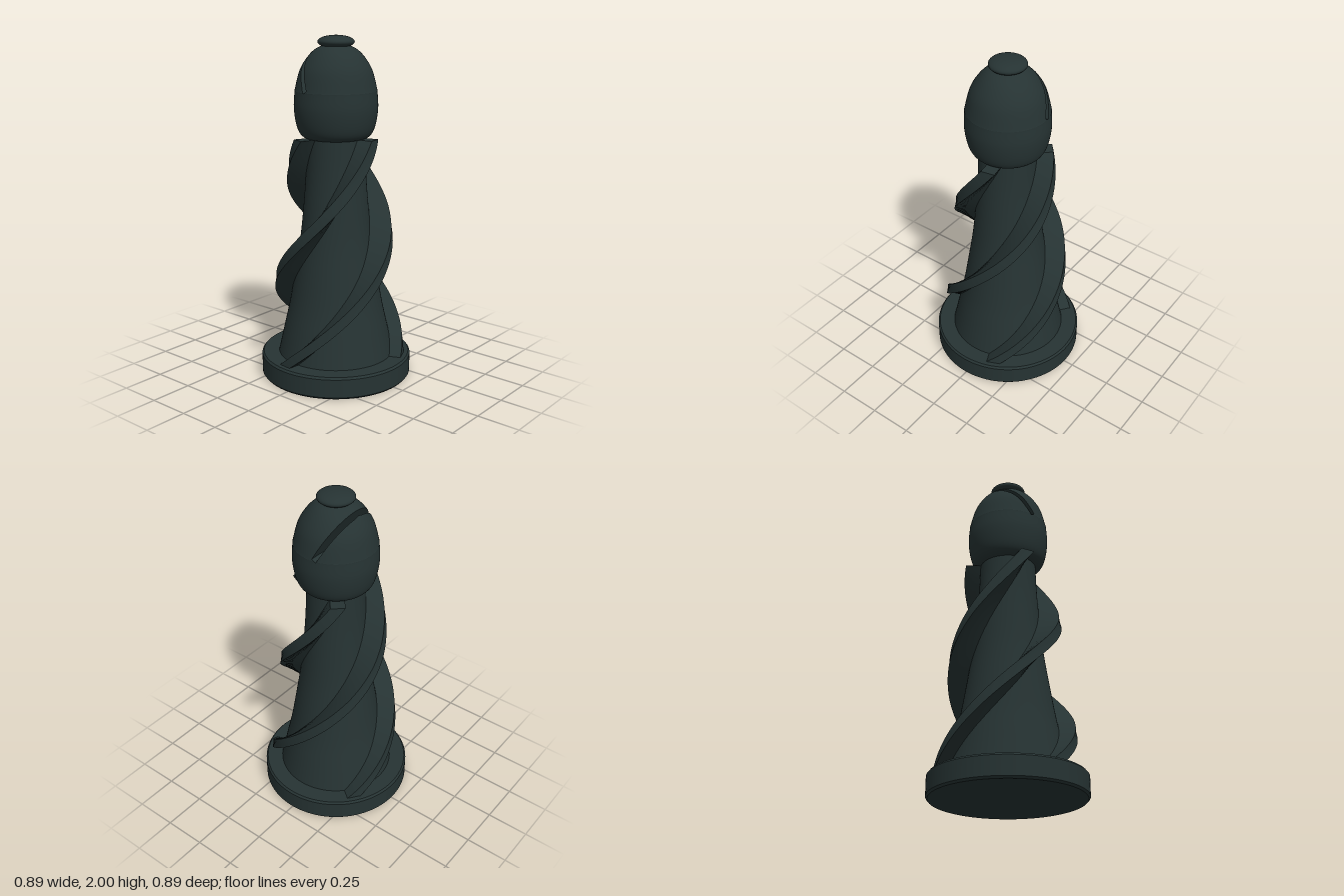
import * as THREE from 'three';

// Piecewise linear lookup in a list of [y, value]
function lookup(table, y) {
  for (let i = 1; i < table.length; i++) {
    const [y0, v0] = table[i - 1], [y1, v1] = table[i];
    if (y <= y1) return v0 + (v1 - v0) * (y - y0) / (y1 - y0);
  }
  return table[table.length - 1][1];
}

// Smooth surface through rows of points, facing outward when j runs anticlockwise from above
function grid(rows) {
  const n = rows[0].length, pos = rows.flat(2), index = [];
  for (let i = 0; i < rows.length - 1; i++) {
    for (let j = 0; j < n - 1; j++) {
      const a = i * n + j, b = a + 1, c = a + n, d = c + 1;
      index.push(a, b, d, a, d, c);
    }
  }
  const g = new THREE.BufferGeometry();
  g.setAttribute('position', new THREE.Float32BufferAttribute(pos, 3));
  g.setIndex(index);
  g.computeVertexNormals();
  return g;
}

const spline = (pts, n) =>
  new THREE.SplineCurve(pts.map(([r, y]) => new THREE.Vector2(r, y))).getPoints(n);

export function createModel() {
  const model = new THREE.Group();
  const paint = new THREE.MeshStandardMaterial({ color: 0x263333 });
  paint.name = 'dark slate green';
  const add = (name, geometry, parent = model) => {
    const mesh = new THREE.Mesh(geometry, paint);
    mesh.name = name;
    parent.add(mesh);
    return mesh;
  };

  // Round base with softened rims
  const baseShape = new THREE.Path();
  baseShape.moveTo(0, 0);
  baseShape.lineTo(0.435, 0);
  baseShape.lineTo(0.445, 0.012);
  baseShape.lineTo(0.445, 0.12);
  baseShape.lineTo(0.435, 0.132);
  baseShape.lineTo(0, 0.132);
  // doubled points keep the rims crisp
  const basePts = baseShape.getPoints().flatMap(p => [p, p.clone()]);
  add('base', new THREE.LatheGeometry(basePts, 96));

  // Tapering concave stem
  const stem = [[0.345, 0.12], [0.305, 0.3], [0.272, 0.45], [0.238, 0.65],
    [0.207, 0.85], [0.186, 1.06], [0.172, 1.25], [0.165, 1.44]];
  add('stem', new THREE.LatheGeometry(spline(stem, 42), 64));

  // Three spiral fins wound around the stem
  const yBottom = 0.12, yTop = 1.425, pitch = 2.05, half = 0.041, steps = 80;
  const finRadius = [[0.12, 0.41], [0.34, 0.382], [0.52, 0.361], [0.69, 0.344],
    [0.85, 0.33], [1.02, 0.309], [1.2, 0.28], [1.43, 0.25]];
  const stemRadius = stem.map(([r, y]) => [y, r]);
  const fins = new THREE.Group();
  fins.name = 'spiralFins';
  model.add(fins);
  const corners = y => {
    const turn = (y - 0.17) / pitch * Math.PI * 2;
    const s = Math.sin(turn), c = Math.cos(turn);
    const at = (r, t) => [r * s + t * c, y, r * c - t * s];
    const inner = lookup(stemRadius, y) - 0.03, outer = lookup(finRadius, y);
    return [at(inner, -half), at(outer, -half), at(outer, half), at(inner, half)];
  };
  const sections = [];
  for (let i = 0; i <= steps; i++) sections.push(corners(yBottom + (yTop - yBottom) * i / steps));
  const end = sections[steps];
  const finFaces = [0, 1, 2].map(k => grid(sections.map(q => [q[k], q[k + 1]])));
  finFaces.push(grid([[end[1], end[2]], [end[0], end[3]]]));
  const faceNames = ['finLowerSide', 'finEdge', 'finUpperSide', 'finTop'];
  for (let k = 0; k < 3; k++) {
    const fin = new THREE.Group();
    fin.name = 'fin';
    fin.rotation.y = k * Math.PI * 2 / 3;
    finFaces.forEach((g, i) => add(faceNames[i], g, fin));
    fins.add(fin);
  }

  // Egg-shaped head, built as the parts on either side of a slanted slit
  const head = new THREE.Group();
  head.name = 'head';
  model.add(head);
  const slitY = 1.685;
  const profile = spline([[0.14, 1.415], [0.185, 1.428], [0.213, 1.46], [0.231, 1.52], [0.24, 1.6],
    [0.235, slitY], [0.233, 1.70], [0.207, 1.8], [0.168, 1.87], [0.12, 1.92], [0.06, 1.95]], 80);
  const leftWall = y => -0.045 - 0.5 * Math.max(0, y - slitY);
  const rightWall = y => y < 1.70
    ? -0.045 + 0.025 * Math.max(0, y - slitY) / 0.015
    : -0.02 - 0.49 * (y - 1.70);
  const headPart = (name, wall, isRight) => {
    const segs = 64, rows = [], normals = [], wallRows = [];
    profile.forEach((p, i) => {
      const a = Math.acos(THREE.MathUtils.clamp(wall(p.y) / p.x, -1, 1));
      const from = Math.PI / 2 + (isRight ? -a : a);
      const to = isRight ? Math.PI / 2 + a : Math.PI * 2.5 - a;
      const tangent = profile[Math.min(i + 1, profile.length - 1)].clone()
        .sub(profile[Math.max(i - 1, 0)]).normalize();
      const row = [];
      for (let j = 0; j <= segs; j++) {
        const t = from + (to - from) * j / segs;
        row.push([p.x * Math.sin(t), p.y, p.x * Math.cos(t)]);
        normals.push(Math.sin(t) * tangent.y, -tangent.x, Math.cos(t) * tangent.y);
      }
      rows.push(row);
      if (p.y >= slitY - 0.001) wallRows.push([row[segs], row[0]]);
    });
    const shell = grid(rows);
    shell.setAttribute('normal', new THREE.Float32BufferAttribute(normals, 3));
    add(name, shell, head);
    // Flat slit face
    const flat = grid(wallRows).toNonIndexed();
    flat.computeVertexNormals();
    add(name + 'SlitFace', flat, head);
  };
  headPart('headRightOfSlit', rightWall, true);
  headPart('headLeftOfSlit', leftWall, false);

  // Flattened knob on top
  const knob = add('knob', new THREE.SphereGeometry(1, 48, 24));
  knob.scale.set(0.105, 0.037, 0.105);
  knob.position.y = 1.963;

  return model;
}
